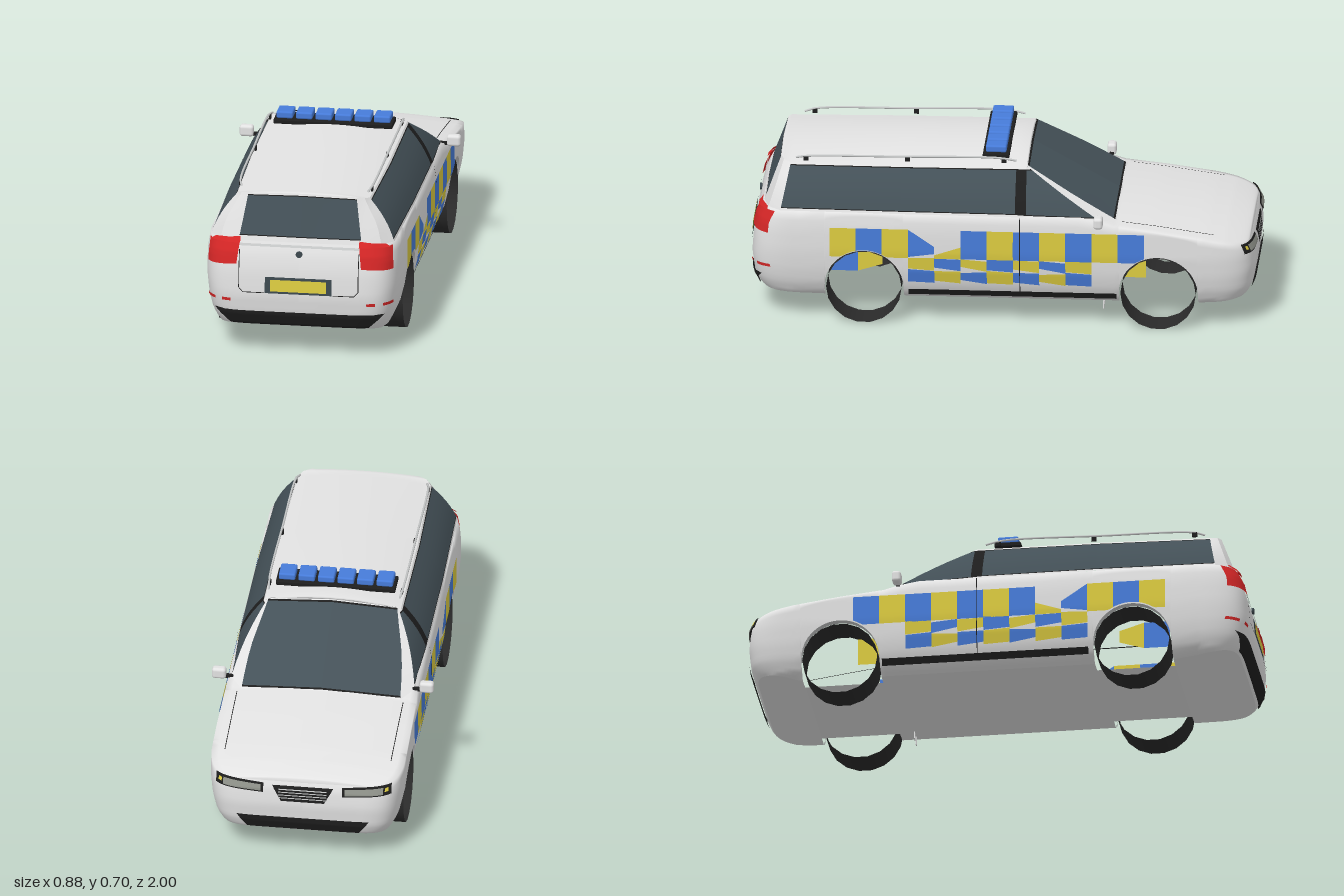
import * as THREE from 'three';
import { RoundedBoxGeometry } from 'three/addons/geometries/RoundedBoxGeometry.js';

const mat = (name, color, double) => {
  const m = new THREE.MeshStandardMaterial({ color });
  m.name = name;
  if (double) m.side = THREE.DoubleSide;
  return m;
};

// piecewise linear lookup in a table of [key, value]
const lookup = (table, k) => {
  if (k <= table[0][0]) return table[0][1];
  for (let i = 1; i < table.length; i++) {
    const [a, va] = table[i - 1], [b, vb] = table[i];
    if (k <= b) return va + (vb - va) * (k - a) / (b - a);
  }
  return table[table.length - 1][1];
};

// grid surface, facing du x dv
function surface(nu, nv, fn) {
  const pos = [], idx = [], w = nv + 1;
  for (let i = 0; i <= nu; i++) for (let j = 0; j <= nv; j++) pos.push(...fn(i, j));
  for (let i = 0; i < nu; i++) for (let j = 0; j < nv; j++) {
    const a = i * w + j, b = a + w;
    idx.push(a, b, b + 1, a, b + 1, a + 1);
  }
  const g = new THREE.BufferGeometry();
  g.setAttribute('position', new THREE.Float32BufferAttribute(pos, 3));
  g.setIndex(idx);
  g.computeVertexNormals();
  return g;
}

// body shape tables: half width, rear end, nose end by height; shoulder height and underside by z
const WIDTH = [[.09, .3], [.11, .337], [.16, .362], [.22, .376], [.3, .384], [.4, .383], [.46, .373]];
const REAR = [[.09, .93], [.13, .968], [.17, .985], [.25, .995], [.35, .987], [.42, .97], [.46, .95]];
const NOSE = [[.09, .93], [.13, .968], [.17, .985], [.25, .993], [.32, .985], [.36, .965], [.4, .935]];
const SHOULDER = [[-1, .345], [-.9, .367], [-.8, .382], [-.6, .41], [-.44, .428], [-.38, .446], [-.3, .46]];
const UNDER = [[-1, .122], [-.9, .108], [-.77, .09], [.72, .09], [.9, .105], [1, .118]];
const ARCHES = [.545, -.615], ARCH_R = .155, ARCH_Y = .15;
const END = .8;
const inArch = z => ARCHES.some(c => Math.abs(z - c) <= ARCH_R + 1e-6);
const bottomY = z => {
  const c = ARCHES.find(a => Math.abs(z - a) <= ARCH_R + 1e-6);
  return c === undefined ? lookup(UNDER, z) : ARCH_Y + Math.sqrt(Math.max(0, ARCH_R ** 2 - (z - c) ** 2));
};
const sideX = y => lookup(WIDTH, y);
const endZ = (x, y, dir) => {
  const len = lookup(dir > 0 ? REAR : NOSE, y) - END;
  return dir * (END + len * Math.max(0, 1 - (Math.abs(x) / sideX(y)) ** 8) ** .4);
};

// plan outline from tail centre to nose centre: e = width fraction, z, d = end depth fraction
function planOutline() {
  const end = [], n = 18;
  for (let i = 0; i <= n; i++) {
    const a = (1 - (i / n) ** .8) * Math.PI / 2;
    end.push({ e: i ? Math.cos(a) ** .25 : 0, d: Math.sin(a) ** .8 });
  }
  const out = end.map(p => ({ ...p, dir: 1, z: END + .2 * p.d }));
  for (const c of ARCHES) {
    out.push({ e: 1, d: 0, z: c + ARCH_R + .001 });
    for (let k = 0; k <= 20; k++) out.push({ e: 1, d: 0, z: c + ARCH_R * Math.cos(Math.PI * k / 20) });
    out.push({ e: 1, d: 0, z: c - ARCH_R - .001 });
    if (c > 0) for (const z of [.2, 0, -.2, -.3, -.38, -.44]) out.push({ e: 1, d: 0, z });
  }
  return out.concat(end.reverse().map(p => ({ ...p, dir: -1, z: -END - .2 * p.d })));
}

export function createModel() {
  const car = new THREE.Group();
  car.name = 'patrolEstateCar';
  const white = mat('white paint', 0xe2e2e2), glass = mat('dark glass', 0x445158);
  const black = mat('black trim', 0x1e1e1e, true), rubber = mat('tyre rubber', 0x2a2a2a, true);
  const blue = mat('blue', 0x477cda, true), yellow = mat('yellow', 0xdccb40, true);
  const red = mat('red lens', 0xd42626, true), grey = mat('light grey', 0xc8caca, true);
  const slate = mat('slate frame', 0x3c484e, true), lens = mat('lamp lens', 0x8d9088, true);
  const add = (name, geo, m, x = 0, y = 0, z = 0) => {
    const mesh = new THREE.Mesh(geo, m);
    mesh.name = name;
    mesh.position.set(x, y, z);
    car.add(mesh);
  };
  const box = (name, m, w, h, d, x, y, z, r = 0) =>
    add(name, r ? new RoundedBoxGeometry(w, h, d, 3, r) : new THREE.BoxGeometry(w, h, d), m, x, y, z);

  // lower body: sides, ends and bonnet in one skin with open wheel arches
  const plan = planOutline(), LV = 14, CAP = [.93, .8, .55, .28, 0, -.28, -.55, -.8, -.93];
  const shell = (p, y, s) => {
    const len = lookup(p.dir > 0 ? REAR : NOSE, y) - END;
    return [s * p.e * sideX(y), y, p.d ? p.dir * (END + len * p.d) : p.z];
  };
  add('lowerBody', surface(plan.length - 1, 2 * LV + 1 + CAP.length, (i, j) => {
    const p = plan[i], lo = bottomY(p.z), hi = lookup(SHOULDER, p.z);
    if (j <= LV) return shell(p, lo + (hi - lo) * (j / LV) ** 1.4, 1);
    if (j > LV + CAP.length) return shell(p, lo + (hi - lo) * ((2 * LV + 1 + CAP.length - j) / LV) ** 1.4, -1);
    const [x, y, z] = shell(p, hi, 1), f = CAP[j - LV - 1];
    return [x * f, y + (p.z < -.35 ? .022 * p.e * (1 - f * f) : 0), z];
  }), white);
  add('floor', surface(plan.length - 1, 1, (i, j) => {
    const p = plan[i], y = lookup(UNDER, p.z), [x, , z] = shell(p, y, 1);
    return [(j ? 1 : -1) * (inArch(p.z) ? .24 : x), y, z];
  }), white);

  // cabin: bottom and top rings, tail centre to windscreen centre
  const low = [[0, .456, .95], [.245, .456, .946], [.32, .456, .925], [.364, .46, .875], [.374, .46, .4],
    [.374, .458, -.05], [.374, .455, -.095], [.364, .446, -.385], [.315, .434, -.45], [0, .448, -.453]];
  const top = [[0, .642, .884], [.215, .637, .88], [.245, .632, .868], [.262, .625, .84], [.272, .628, .4],
    [.27, .63, -.05], [.27, .63, -.09], [.263, .629, -.095], [.255, .636, -.09], [0, .65, -.09]];
  const skin = [glass, white, white, glass, glass, black, glass, white, glass];
  const ringPoint = (u, t, s) => {
    const k = Math.min(Math.floor(u), 8), f = u - k;
    const p = [0, 1, 2].map(c => THREE.MathUtils.lerp(
      THREE.MathUtils.lerp(low[k][c], low[k + 1][c], f), THREE.MathUtils.lerp(top[k][c], top[k + 1][c], f), t));
    p[0] = s * (p[0] + .012 * Math.sin(Math.PI * t) * THREE.MathUtils.clamp((p[0] - .235) / .05, 0, 1));
    return p;
  };
  const rowsFor = k => {
    const a = k === 0 ? .12 : k === 8 ? .02 : .05, b = k === 8 ? .97 : .94;
    return [[0, a], [a, a + .02], [a + .02, b], [b, b + .02], [b + .02, 1]];
  };
  for (const s of [1, -1]) skin.forEach((m, k) => rowsFor(k).forEach(([t0, t1], r) => {
    const rowMat = m === white ? white : r === 2 ? m : r % 2 ? black : white;
    add(r === 2 && m === glass ? 'window' : 'cabinFrame', surface(2, 6, (i, j) =>
      ringPoint(k + (s > 0 ? i : 2 - i) / 2, t0 + (t1 - t0) * j / 6, s)), rowMat);
  }));
  const crown = [0, .008, .014, .02, .032, .033, .03, .028, .016, 0];
  add('roof', surface(9, 12, (i, j) => {
    const f = 1 - j / 6;
    return [top[i][0] * f, top[i][1] + crown[i] * (1 - f * f), top[i][2]];
  }), white);

  // thin patch between four corners a,b,c,d laid on the body by a rule
  const patch = (name, m, [a, b, c, d], rule, n = 8) => add(name, surface(n, n, (i, j) => {
    const u = i / n, v = j / n;
    return rule(...[0, 1].map(k => (a[k] * (1 - u) + b[k] * u) * (1 - v) + (d[k] * (1 - u) + c[k] * u) * v));
  }), m);
  const rect = (x0, x1, y0, y1) => [[x0, y0], [x1, y0], [x1, y1], [x0, y1]];
  const onEnd = (dir, off = .006) => (x, y) => [x * 1.008, y, endZ(x, y, dir) + dir * off];
  const onSide = (s, off = .004) => (z, y) => [s * (sideX(y) + off), y, z];
  const flip = (pts, s) => pts.map(([x, y]) => [x * s, y]);

  // tail details
  patch('rearBumperInsert', black, [[-.27, .122], [.27, .122], [.335, .184], [-.335, .184]], onEnd(1), 16);
  patch('plateFrame', slate, rect(-.132, .132, .262, .328), onEnd(1));
  patch('rearPlate', yellow, rect(-.11, .11, .271, .318), onEnd(1, .009));
  patch('tailgateRidge', grey, rect(-.235, .235, .444, .453), onEnd(1, .008));
  add('tailgateButton', new THREE.CylinderGeometry(.013, .013, .008, 16).rotateX(Math.PI / 2), slate, 0, .42, endZ(0, .42, 1) + .005);
  for (const s of [1, -1]) {
    patch('tailLamp', red, flip([[.246, .374], [.366, .366], [.36, .456], [.236, .456]], s), onEnd(1, .008), 14);
    patch('tailLampTop', red, flip([[.236, .455], [.358, .455], [.338, .468], [.236, .477]], s),
      (x, y) => [x, y, .965 - (y - .455) * .8 - Math.max(0, Math.abs(x) - .28) * .5]);
    for (const x of [.268, .33]) patch('rearReflector', red, flip(rect(x, x + .034, .222, .234), s), onEnd(1));
    patch('tailgateSeam', black, flip(rect(.234, .237, .28, .43), s), onEnd(1, .004));
    patch('tailgateSeam', black, flip([[.135, .261], [.22, .261], [.22, .264], [.135, .264]], s), onEnd(1, .004));
    patch('tailgateSeam', black, flip([[.22, .261], [.237, .28], [.234, .28], [.219, .264]], s), onEnd(1, .004));
  }

  // nose details
  patch('grille', black, [[-.085, .27], [.085, .27], [.12, .334], [-.12, .334]], onEnd(-1), 10);
  for (let k = 0; k < 4; k++) patch('grilleSlat', grey, rect(-.095, .095, .283 + k * .012, .287 + k * .012), onEnd(-1, .009));
  patch('lowerIntake', black, [[-.22, .132], [.22, .132], [.26, .194], [-.26, .194]], onEnd(-1), 16);
  for (const s of [1, -1]) {
    patch('headlampSurround', black, flip([[.155, .303], [.345, .315], [.345, .355], [.155, .34]], s), onEnd(-1), 14);
    patch('headlamp', lens, flip([[.165, .31], [.315, .319], [.315, .345], [.165, .334]], s), onEnd(-1, .009), 12);
    patch('indicator', yellow, flip([[.321, .328], [.334, .33], [.334, .345], [.321, .342]], s), onEnd(-1, .009));
  }

  // side markings, sill, seams, mirrors, rails and wheels
  const CELL = 1.24 / 12;
  for (const s of [1, -1]) {
    for (let k = 0; k < 12; k++) {
      const z0 = .68 - k * CELL, z1 = z0 - CELL, a = k % 2 ? blue : yellow, b = k % 2 ? yellow : blue;
      const overArch = z => Math.max(.28, bottomY(z) + .004);
      if (k === 3) patch('sideMarking', a, [[z0, .285], [z1, .3], [z1, .33], [z0, .4]], onSide(s));
      else if (k === 4) patch('sideMarking', a, [[z0, .28], [z1, .28], [z1, .33], [z0, .295]], onSide(s));
      else patch('sideMarking', a, rect(z0, z1, 0, 1), (z, v) => {
        const y = THREE.MathUtils.lerp(overArch(z), .4, v);
        return [s * (sideX(y) + .004), y, z];
      });
      // broken lower rows between the wheels
      if (k > 2 && k < 10) {
        const w = k % 3 * .006;
        patch('sideMarking', b, [[z0, .235 + w], [z1, .228], [z1, .284 - w], [z0, .28]], onSide(s));
        patch('sideMarking', a, [[z0, .176 + w], [z1, .172], [z1, .226], [z0, .232 - w]], onSide(s));
      }
    }
    // flat panels seen inside the wheels
    const inner = (z, y) => [s * .25, y, z];
    patch('innerPanel', blue, rect(.68, .577, .17, .28), inner);
    patch('innerPanel', yellow, [[.577, .17], [.48, .2], [.48, .25], [.577, .28]], inner);
    patch('innerPanel', yellow, rect(-.47, -.56, .17, .28), inner);
    patch('sillStrip', black, rect(.37, -.45, .114, .14), onSide(s, .006));
    patch('doorSeam', black, rect(-.0685, -.0715, .14, .455), onSide(s, .006));
    patch('bonnetSeam', black, rect(-.47, -.83, .328, .331), (z, x) =>
      [s * x, lookup(SHOULDER, z) + .022 * (1 - (x / sideX(lookup(SHOULDER, z))) ** 2) + .004, z]);

    box('doorMirror', white, .056, .046, .036, s * .412, .46, -.382, .012);
    box('mirrorArm', black, .04, .012, .016, s * .375, .446, -.382);

    const rail = new THREE.CatmullRomCurve3([[.252, .643, .82], [.262, .653, .78], [.266, .661, .4],
      [.266, .665, .02], [.26, .653, -.05]].map(([x, y, z]) => new THREE.Vector3(s * x, y, z)));
    add('roofRail', new THREE.TubeGeometry(rail, 24, .0045, 6), grey);
    for (const [z, y] of [[.78, .643], [.38, .65], [0, .653]]) box('railFoot', black, .008, .018, .02, s * .262, y, z);

    // wheel arch lips and tyre bands
    for (const z of ARCHES) {
      add('archLip', surface(20, 1, (i, j) => {
        const a = Math.PI * i / 20, y = ARCH_Y + ARCH_R * Math.sin(a);
        return [s * (sideX(y) - .03 * j), y, z + ARCH_R * Math.cos(a)];
      }), grey);
      add('tyre', new THREE.CylinderGeometry(.149, .149, .13, 18, 1, true).rotateZ(Math.PI / 2), rubber, s * .305, .148, z);
    }
  }

  // roof light bar
  box('lightBarBase', black, .474, .019, .105, 0, .662, .033, .005);
  for (let k = 0; k < 6; k++) box('beacon', blue, .066, .028, .082, (k - 2.5) * .0775, .686, .033, .007);

  // small plates below the floor
  box('pedalPlate', white, .026, .028, .004, .155, .036, -.39);
  box('pedalPlate', white, .017, .034, .004, .202, .036, -.39);
  return car;
}
